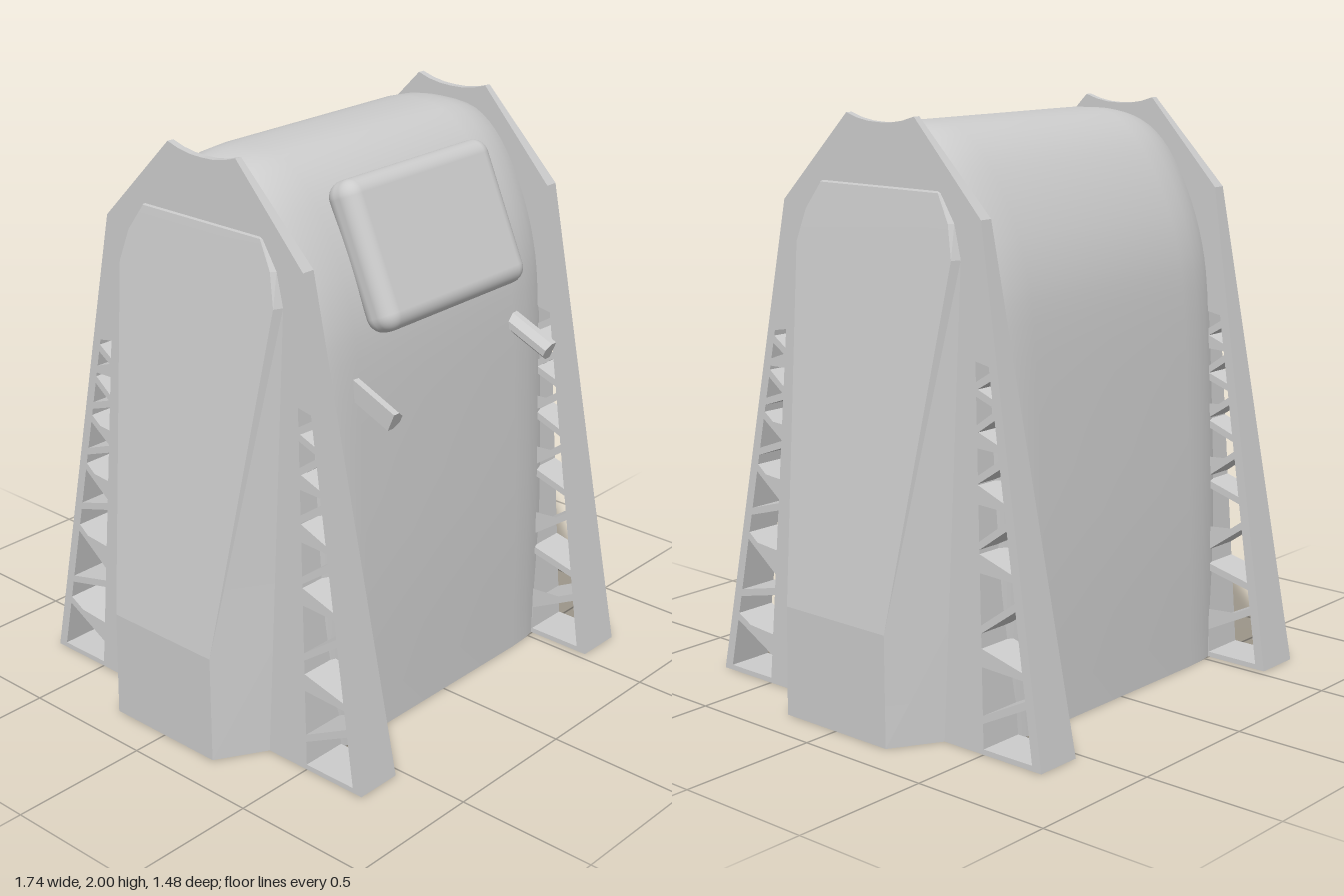
import * as THREE from 'three';
import { toCreasedNormals } from 'three/addons/utils/BufferGeometryUtils.js';
import { RoundedBoxGeometry } from 'three/addons/geometries/RoundedBoxGeometry.js';

const grey = new THREE.MeshStandardMaterial({ color: 0xcccccc });

function addMesh(parent, name, geometry) {
  const mesh = new THREE.Mesh(geometry, grey);
  mesh.name = name;
  parent.add(mesh);
  return mesh;
}

// Skin a list of rings, each a list of [x, y, z] points.
function loft(rings, crease) {
  const n = rings[0].length, index = [];
  for (let s = 0; s < rings.length - 1; s++) {
    for (let i = 0; i < n - 1; i++) {
      const a = s * n + i, b = a + n;
      index.push(a, b, a + 1, a + 1, b, b + 1);
    }
  }
  const geometry = new THREE.BufferGeometry();
  geometry.setAttribute('position', new THREE.Float32BufferAttribute(rings.flat(2), 3));
  geometry.setIndex(index);
  return toCreasedNormals(geometry, crease);
}

const path = (pts) => pts.map(([x, y]) => new THREE.Vector2(x, y));

// Rounded central hull, slightly drawn in at both ends.
function hullGeometry() {
  const half = [[0.51, 0], [0.5, 0.5], [0.475, 1.0], [0.45, 1.35], [0.42, 1.52],
    [0.37, 1.66], [0.3, 1.79], [0.22, 1.89], [0.12, 1.955]];
  const back = half.map(([z, y]) => [-z, y]).reverse();
  const curve = new THREE.SplineCurve(path([...half, [0, 1.97], ...back]));
  const profile = curve.getPoints(54);
  const section = [new THREE.Vector2(0, 0), ...profile, new THREE.Vector2(0, 0)];
  const stations = [[0.61, 1], [0.58, 0.7], [0.54, 0.4], [0.48, 0.12], [0.4, 0]];
  const all = [...stations.map(([x, t]) => [-x, t]), ...stations.slice().reverse()];
  return loft(all.map(([x, t]) =>
    section.map((p) => [x, p.y * (1 - 0.022 * t), p.x * (1 - 0.08 * t)])), 0.6);
}

// Openings between the zigzag bars of one leg.
function latticeHoles(side) {
  const outer = (y) => 0.705 - 0.176 * y;
  const inner = (y) => 0.5 - 0.056 * y;
  // Bar centres: height at the outer rail, height at the inner rail
  const bars = [[0.005, 0.005], [0.205, 0.115], [0.295, 0.335], [0.51, 0.41], [0.6, 0.64],
    [0.76, 0.68], [0.82, 0.86], [0.95, 0.89], [1.0, 1.03], [1.1, 1.05],
    [1.14, 1.165], [1.22, 1.185], [1.265, 1.275]];
  const t = 0.013;
  return bars.slice(1).map(([o1, i1], k) => {
    const [o0, i0] = bars[k];
    return new THREE.Path(path([
      [outer(o0 + t), o0 + t], [inner(i0 + t), i0 + t],
      [inner(i1 - t), i1 - t], [outer(o1 - t), o1 - t],
    ].map(([z, y]) => [z * side, y])));
  });
}

// Side frame: pointed plate with lattice legs, thinning towards the top.
function frameGeometry() {
  const half = [[0.74, 0], [0.44, 1.7], [0.15, 2], [0.1, 1.985], [0.05, 1.977]];
  const back = half.map(([z, y]) => [-z, y]).reverse();
  const shape = new THREE.Shape(path([...half, [0, 1.975], ...back]));
  shape.holes.push(...latticeHoles(1), ...latticeHoles(-1));
  const geometry = new THREE.ExtrudeGeometry(shape, { depth: 2, bevelEnabled: false });
  geometry.translate(0, 0, -1).rotateY(Math.PI / 2);
  const p = geometry.attributes.position;
  for (let i = 0; i < p.count; i++) {
    p.setX(i, 0.615 + p.getX(i) * (0.085 - 0.03625 * p.getY(i)));
  }
  geometry.computeVertexNormals();
  return geometry;
}

// Faceted buttress that swells out of the frame towards the ground.
function buttressGeometry() {
  const sections = [ // y, outer x, outer half depth, root half depth
    [0, 0.87, 0.23, 0.33], [0.38, 0.867, 0.225, 0.338], [1.57, 0.674, 0.347, 0.36],
    [1.68, 0.656, 0.318, 0.33], [1.77, 0.64, 0.262, 0.27], [1.79, 0.625, 0.24, 0.25],
  ];
  const rings = sections.map(([y, xo, zo, zi]) => {
    const xp = Math.min(0.7 - 0.03625 * y, xo);
    return [[0.6, y, -zi], [xp, y, -zi], [xo, y, -zo], [xo, y, zo], [xp, y, zi], [0.6, y, zi]];
  });
  rings.unshift(rings[0].map(() => [0.6, 0, 0])); // closes the base
  return loft(rings, 0.02);
}

// Short bar with its inner corners chamfered.
function pegGeometry(side) {
  const shape = new THREE.Shape(path([[0.025, 0.033], [0, 0.033], [-0.025, 0.012],
    [-0.025, -0.012], [0, -0.033], [0.025, -0.033]].map(([x, y]) => [x * side, y])));
  return new THREE.ExtrudeGeometry(shape, { depth: 0.22, bevelEnabled: false });
}

export function createModel() {
  const model = new THREE.Group();
  model.name = 'podBuilding';

  addMesh(model, 'hull', hullGeometry());

  // Tilted rounded panel on the upper front
  const panel = addMesh(model, 'frontPanel', new RoundedBoxGeometry(0.72, 0.5, 0.13, 5, 0.055));
  panel.position.set(0.005, 1.662, 0.401);
  panel.rotation.x = -0.42;

  // Frame and buttress at each end
  for (const [name, turn] of [['left', 0], ['right', Math.PI]]) {
    const end = new THREE.Group();
    end.name = name + 'End';
    end.rotation.y = turn;
    addMesh(end, name + 'Frame', frameGeometry());
    addMesh(end, name + 'Buttress', buttressGeometry());
    model.add(end);
  }

  // Pegs pointing forward and down
  for (const [name, side] of [['left', 1], ['right', -1]]) {
    const peg = addMesh(model, name + 'Peg', pegGeometry(side));
    peg.position.set(0.4 * side, 1.275, 0.41);
    peg.rotation.x = 0.4;
  }
  return model;
}
